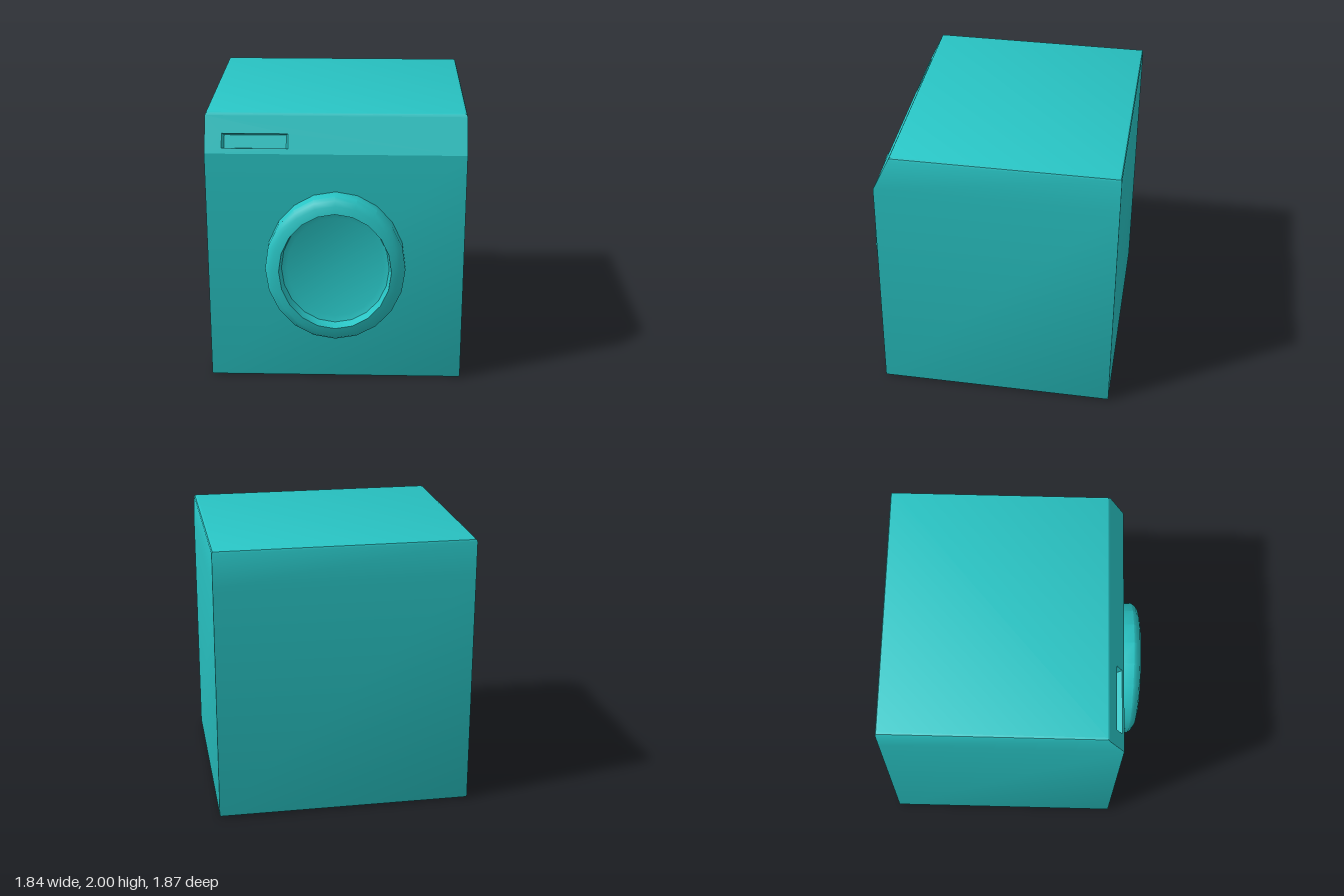
import * as THREE from 'three';
import { toCreasedNormals } from 'three/addons/utils/BufferGeometryUtils.js';

const material = new THREE.MeshStandardMaterial({ color: 0x28c4c4 });

function part(name, geometry) {
  const mesh = new THREE.Mesh(geometry, material);
  mesh.name = name;
  return mesh;
}

// Skins a stack of four-cornered rings; the last ring is always capped.
function loft(rings, { capFirst = false, skip = () => false } = {}) {
  const pos = [];
  const quad = (a, b, c, d) => [a, b, c, a, c, d].forEach(p => pos.push(...p));
  for (let i = 0; i < rings.length - 1; i++) {
    for (let k = 0; k < 4; k++) {
      if (skip(i, k)) continue;
      const n = (k + 1) % 4;
      quad(rings[i][k], rings[i][n], rings[i + 1][n], rings[i + 1][k]);
    }
  }
  quad(...rings[rings.length - 1]);
  if (capFirst) quad(...[...rings[0]].reverse());
  const g = new THREE.BufferGeometry();
  g.setAttribute('position', new THREE.Float32BufferAttribute(pos, 3));
  return toCreasedNormals(g, 0.6);
}

export function createModel() {
  const model = new THREE.Group();
  model.name = 'washingMachine';

  const W = 0.92, BACK = -0.935, FRONT = 0.775;
  const slopeY = 1.735, slopeTop = 1.98, slope = 0.125 / 0.265;
  const topZ = FRONT - (slopeTop - slopeY) * slope;

  // Cabinet: level rings, with small rounds at the bottom and top edges
  const ring = (y, front, inset) => [
    [-W + inset, y, front], [W - inset, y, front],
    [W - inset, y, BACK + inset], [-W + inset, y, BACK + inset],
  ];
  const round = [[0, 0.02], [0.006, 0.006], [0.02, 0]]; // height, inset
  const rings = [
    ...round.map(([h, inset]) => ring(h, FRONT - inset, inset)),
    ring(slopeY, FRONT, 0),
    ring(slopeTop, topZ, 0),
    ring(1.994, topZ - 0.008, 0.006),
    ring(2, topZ - 0.018, 0.02),
  ];
  // The sloping front is left open for the control panel
  model.add(part('cabinet', loft(rings, { capFirst: true, skip: (i, k) => i === 3 && k === 0 })));

  // Sloping control panel with a slot cut through it
  const panel = new THREE.Group();
  panel.name = 'controlPanel';
  panel.position.set(0, slopeY, FRONT);
  panel.rotation.x = -Math.atan(slope);
  const length = Math.hypot(slopeTop - slopeY, FRONT - topZ);
  const rect = (x0, y0, x1, y1) => [[x0, y0], [x1, y0], [x1, y1], [x0, y1]];
  const vectors = pts => pts.map(p => new THREE.Vector2(...p));
  const slot = rect(-0.8, 0.039, -0.333, 0.144);
  const floor = rect(-0.785, 0.046, -0.348, 0.14);
  const face = new THREE.Shape(vectors(rect(-W, 0, W, length)));
  face.holes.push(new THREE.Path(vectors(slot)));
  panel.add(part('panelFace', new THREE.ShapeGeometry(face)));

  // Drawer grip recess
  panel.add(part('drawerRecess', loft([
    slot.map(p => [...p, 0]),
    floor.map(p => [...p, -0.045]),
  ])));
  model.add(panel);

  // Oval door: rounded rim, stepped inner lip and sunken window
  const profile = [
    [0.5, 0], [0.5, 0.1], [0.482, 0.126], [0.45, 0.147], [0.4, 0.16],
    [0.385, 0.085], [0.345, 0.07], [0, 0.07],
  ].map(p => new THREE.Vector2(...p));
  const door = new THREE.LatheGeometry(profile, 20);
  door.rotateX(Math.PI / 2);
  door.scale(1, 1.1, 1);
  const doorMesh = part('door', toCreasedNormals(door, 0.65));
  doorMesh.position.set(0, 0.91, FRONT);
  model.add(doorMesh);

  return model;
}
